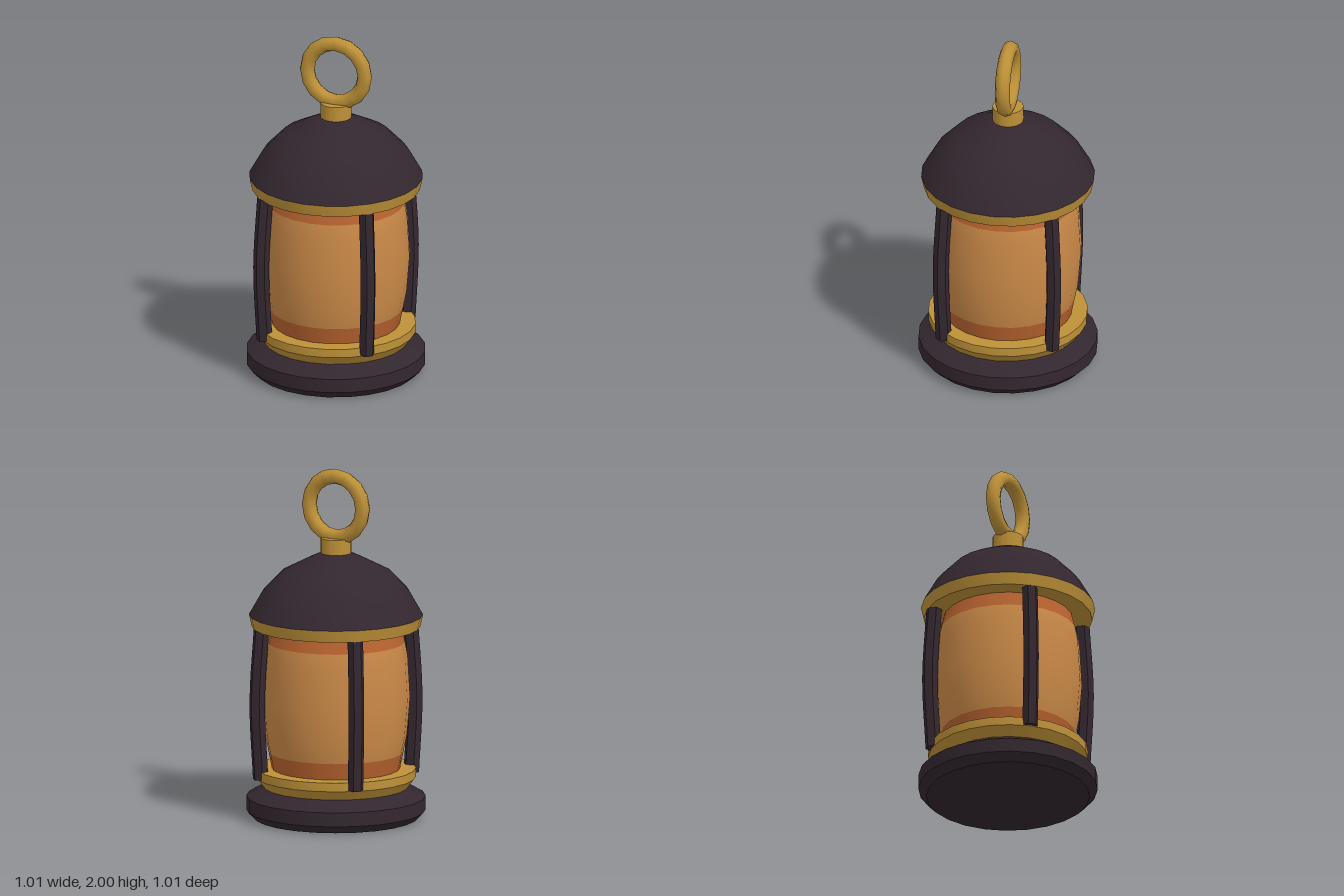
import * as THREE from 'three';
import { toCreasedNormals } from 'three/addons/utils/BufferGeometryUtils.js';

const SIDES = 24;

function material(name, color) {
  const m = new THREE.MeshStandardMaterial({ color });
  m.name = name;
  return m;
}

function part(name, geometry, mat) {
  const mesh = new THREE.Mesh(geometry, mat);
  mesh.name = name;
  return mesh;
}

// Turned part from [radius, height] points, listed bottom to top
function turned(name, profile, mat, crease = 0.5) {
  const points = profile.map(([r, y]) => new THREE.Vector2(r, y));
  const geometry = new THREE.LatheGeometry(points, SIDES);
  return part(name, crease ? toCreasedNormals(geometry, crease) : geometry, mat);
}

export function createModel() {
  const iron = material('dark iron', 0x33272f);
  const brass = material('brass', 0xbe9138);
  const glass = material('amber glass', 0xcb8a48);
  const amber = material('deep orange glass', 0xb8632f);
  glass.side = amber.side = THREE.DoubleSide;

  const lantern = new THREE.Group();
  lantern.name = 'lantern';

  // Foot and lower collar
  lantern.add(turned('base', [[0, 0], [0.46, 0], [0.505, 0.045], [0.505, 0.125], [0.41, 0.18], [0, 0.18]], iron));
  lantern.add(turned('lowerCollar', [[0.41, 0.18], [0.45, 0.235], [0.45, 0.285], [0, 0.285]], brass));

  // Bulging glass with a deeper band at each end
  lantern.add(turned('lowerGlassBand', [[0.36, 0.28], [0.38, 0.38]], amber, 0));
  lantern.add(turned('glass', [[0.38, 0.38], [0.4, 0.48], [0.417, 0.69], [0.403, 0.93], [0.388, 1.01]], glass, 0));
  lantern.add(turned('upperGlassBand', [[0.388, 1.01], [0.365, 1.1]], amber, 0));

  // Four bowed bars on the diagonals
  const path = new THREE.CatmullRomCurve3([
    new THREE.Vector3(0.438, 0.24, 0),
    new THREE.Vector3(0.458, 0.68, 0),
    new THREE.Vector3(0.432, 1.12, 0),
  ]);
  const barGeometry = toCreasedNormals(new THREE.TubeGeometry(path, 10, 0.045, 6), 0.6);
  const capGeometry = new THREE.CircleGeometry(0.045, 6).rotateX(Math.PI / 2).rotateY(Math.PI / 2);
  for (let i = 0; i < 4; i++) {
    const bar = new THREE.Group();
    bar.name = 'bar' + (i + 1);
    const cap = part('barEnd', capGeometry, iron);
    cap.position.set(0.438, 0.24, 0);
    bar.add(part('barRod', barGeometry, iron), cap);
    bar.rotation.y = Math.PI / 4 + i * Math.PI / 2;
    lantern.add(bar);
  }

  // Upper rim and domed roof
  lantern.add(turned('upperRim', [[0, 1.097], [0.475, 1.097], [0.49, 1.165]], brass));
  lantern.add(turned('roof', [[0.49, 1.165], [0.413, 1.3], [0.307, 1.41], [0.16, 1.485], [0.085, 1.52], [0, 1.52]], iron, 0));

  // Neck and carrying ring
  const neck = part('neck', new THREE.CylinderGeometry(0.087, 0.087, 0.095, SIDES), brass);
  neck.position.y = 1.5575;
  const ring = part('ring', new THREE.TorusGeometry(0.174, 0.043, 8, 16), brass);
  ring.position.y = 1.783;
  lantern.add(neck, ring);

  return lantern;
}
